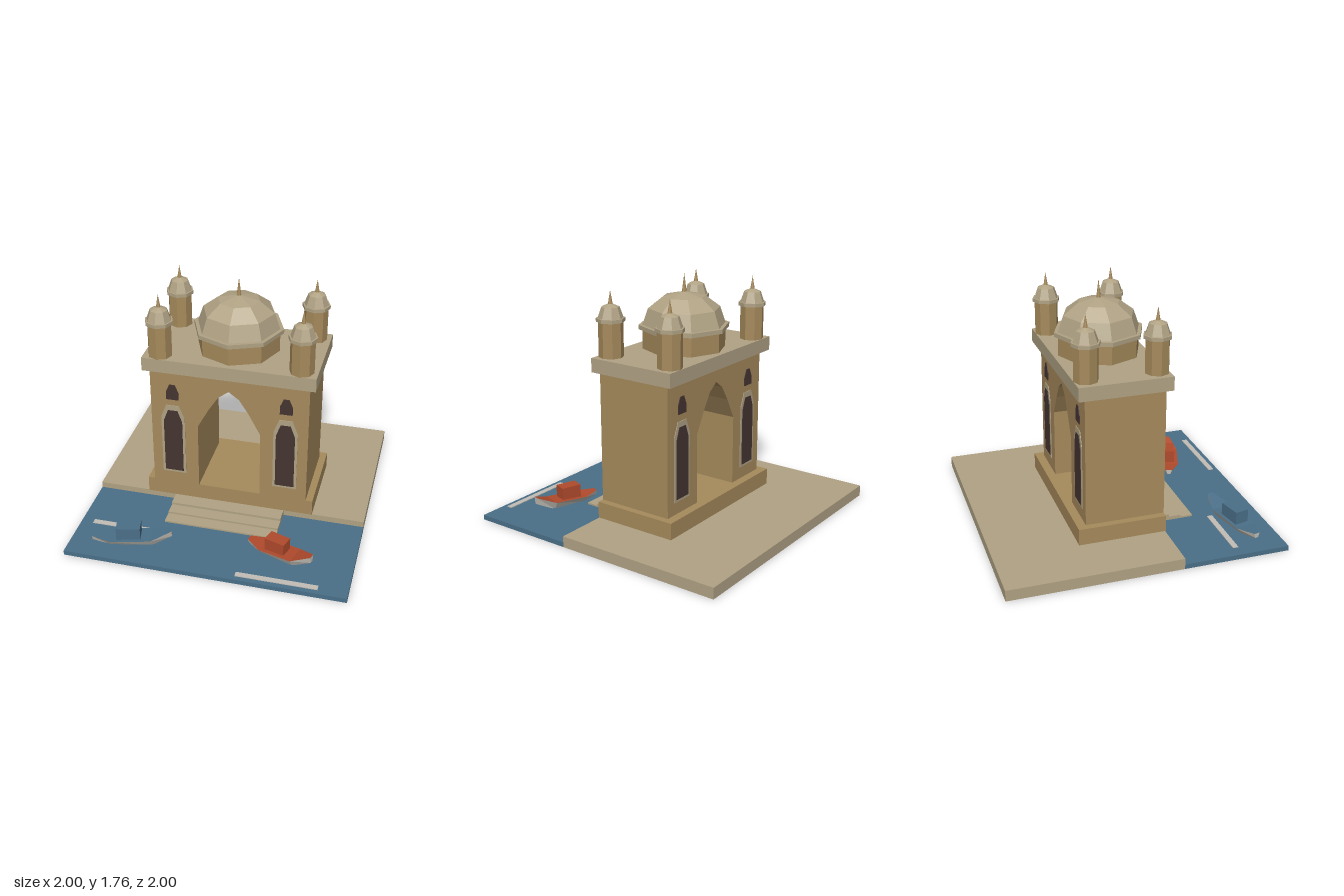
import * as THREE from 'three';

const mat = (name, color) => new THREE.MeshStandardMaterial({ name, color, flatShading: true, side: THREE.DoubleSide });

export function createModel() {
  const model = new THREE.Group();
  model.name = 'riversideGate';
  const stone = mat('paleStone', 0xb0a284);
  const wall = mat('sandstone', 0xa68a5c);
  const water = mat('waterBlue', 0x4a6f88);
  const dark = mat('darkOpening', 0x453531);
  const pale = mat('paleGrey', 0xc2beb6);
  const red = mat('boatRed', 0xb04a2c);

  const add = (name, geo, material, parent = model) => {
    const m = new THREE.Mesh(geo, material);
    m.name = name;
    parent.add(m);
    return m;
  };
  // box given by its limits; open ones have no underside
  const block = (name, x0, x1, y0, y1, z0, z1, material, open = false) => {
    const g = new THREE.BoxGeometry(x1 - x0, y1 - y0, z1 - z0);
    g.translate((x0 + x1) / 2, (y0 + y1) / 2, (z0 + z1) / 2);
    if (open) {
      const idx = Array.from(g.index.array);
      idx.splice(18, 6);
      g.setIndex(idx);
      g.clearGroups();
    }
    return add(name, g, material);
  };
  const lathe = (pts) => new THREE.LatheGeometry(pts.map(([r, y]) => new THREE.Vector2(r, y)), 8);
  const shape = (pts) => new THREE.Shape(pts.map(([x, y]) => new THREE.Vector2(x, y)));

  // ground, water and steps
  block('land', -1, 1, 0, 0.08, -1, 0.23, stone, true);
  block('water', -1, 1, 0, 0.035, 0.23, 1, water, true);
  [[0.34, 0.079], [0.43, 0.061], [0.52, 0.047]].forEach(([z, y], i) =>
    block('step' + (i + 1), -0.41, 0.41, 0, y, i ? [0.34, 0.43][i - 1] : 0.23, z, stone, true));
  block('foamStripRight', -0.91, -0.455, 0.035, 0.041, 0.62, 0.66, pale);
  block('foamStripLeft', 0.225, 0.795, 0.035, 0.041, 0.925, 0.965, pale);

  // plinth, arched block and cornice
  block('plinth', -0.62, 0.62, 0.08, 0.2, -0.398, 0.235, wall);
  const arch = [[0.228, 0.2], [0.228, 0.71], [0.145, 0.865], [0.075, 0.975], [0, 1.03]];
  const mirrored = arch.slice(0, -1).reverse().map(([x, y]) => [-x, y]);
  const body = new THREE.ExtrudeGeometry(
    shape([[-0.57, 0.2], ...[...arch, ...mirrored].reverse(), [0.57, 0.2], [0.57, 1.14], [-0.57, 1.14]]),
    { depth: 0.57, bevelEnabled: false });
  body.translate(0, 0, -0.335);
  add('archedBody', body, wall);
  block('cornice', -0.615, 0.615, 1.14, 1.24, -0.39, 0.272, stone);

  // pointed windows on both faces: half width, top half width, sill, shoulder, top
  const pane = (w, t, y0, y1, y2, depth) => new THREE.ExtrudeGeometry(
    shape([[-w, y0], [w, y0], [w, y1], [t, y2], [-t, y2], [-w, y1]]), { depth, bevelEnabled: false });
  for (const face of [1, -1]) {
    const windows = new THREE.Group();
    windows.name = face > 0 ? 'frontWindows' : 'backWindows';
    windows.position.z = face > 0 ? 0.235 : -0.335;
    if (face < 0) windows.rotation.y = Math.PI;
    for (const x of [-0.41, 0.41]) {
      add('windowFrame', pane(0.087, 0.048, 0.29, 0.76, 0.86, 0.005), stone, windows).position.x = x;
      add('windowPane', pane(0.068, 0.035, 0.308, 0.73, 0.82, 0.009), dark, windows).position.x = x;
      add('smallWindow', pane(0.045, 0.02, 0.91, 0.97, 1.03, 0.006), dark, windows).position.x = x;
    }
    model.add(windows);
  }

  // central dome
  const dome = new THREE.Group();
  dome.name = 'centralDome';
  dome.position.set(0, 1.24, -0.06);
  add('drum', lathe([[0.295, 0], [0.295, 0.145]]), wall, dome);
  add('domeRing', lathe([[0.295, 0.14], [0.322, 0.14], [0.322, 0.17], [0.29, 0.17]]), stone, dome);
  add('domeShell', lathe([[0.295, 0.17], [0.255, 0.285], [0.15, 0.365], [0, 0.4]]), stone, dome);
  add('domeSpire', lathe([[0.018, 0.385], [0, 0.525]]), wall, dome);
  model.add(dome);

  // corner turrets
  for (const x of [-0.5, 0.5]) for (const z of [-0.305, 0.19]) {
    const turret = new THREE.Group();
    turret.name = 'cornerTurret';
    turret.position.set(x, 1.24, z);
    add('turretShaft', lathe([[0.086, 0], [0.086, 0.25]]), wall, turret);
    add('turretRing', lathe([[0.086, 0.245], [0.1, 0.245], [0.1, 0.27], [0.086, 0.27]]), stone, turret);
    add('turretCap', lathe([[0.088, 0.27], [0.062, 0.345], [0, 0.372]]), stone, turret);
    add('turretSpire', lathe([[0.016, 0.365], [0, 0.458]]), wall, turret);
    model.add(turret);
  }

  // boats: stations along the length as [x, deck half width, deck y, keel half width, keel y]
  const stations = [[-0.25, 0.022, 0.08, 0.012, 0.045], [-0.13, 0.077, 0.073, 0.045, 0.025],
    [0.12, 0.077, 0.085, 0.045, 0.025], [0.25, 0.022, 0.135, 0.012, 0.085]];
  const boat = (name, x, z, angle, stretch, cabinWidth, material) => {
    const g = new THREE.Group();
    g.name = name;
    g.position.set(x, 0, z);
    g.rotation.y = angle;
    const pos = [], hullIdx = [0, 3, 2, 0, 2, 1], deckIdx = [];
    stations.forEach(([sx, w, y, kw, ky], i) => {
      const s = sx * stretch;
      pos.push(s, y, -w, s, y, w, s, ky, kw, s, ky, -kw);
      if (i === 3) return;
      for (let j = 0; j < 4; j++) {
        const a = i * 4 + j, b = i * 4 + (j + 1) % 4;
        (j ? hullIdx : deckIdx).push(a, b, b + 4, a, b + 4, a + 4);
      }
    });
    hullIdx.push(12, 13, 14, 12, 14, 15);
    for (const [part, idx, m] of [['hull', hullIdx, pale], ['deck', deckIdx, material]]) {
      const geo = new THREE.BufferGeometry();
      geo.setAttribute('position', new THREE.Float32BufferAttribute(pos, 3));
      geo.setIndex(idx);
      geo.computeVertexNormals();
      add(part, geo, m, g);
    }
    add('cabin', new THREE.BoxGeometry(0.15 * stretch, 0.1, cabinWidth), material, g).position.set(-0.022, 0.12, 0);
    model.add(g);
  };
  boat('redBoat', 0.477, 0.672, -0.325, 1, 0.094, red);
  boat('blueBoat', -0.57, 0.77, 0.215, 1.13, 0.104, water);
  return model;
}
